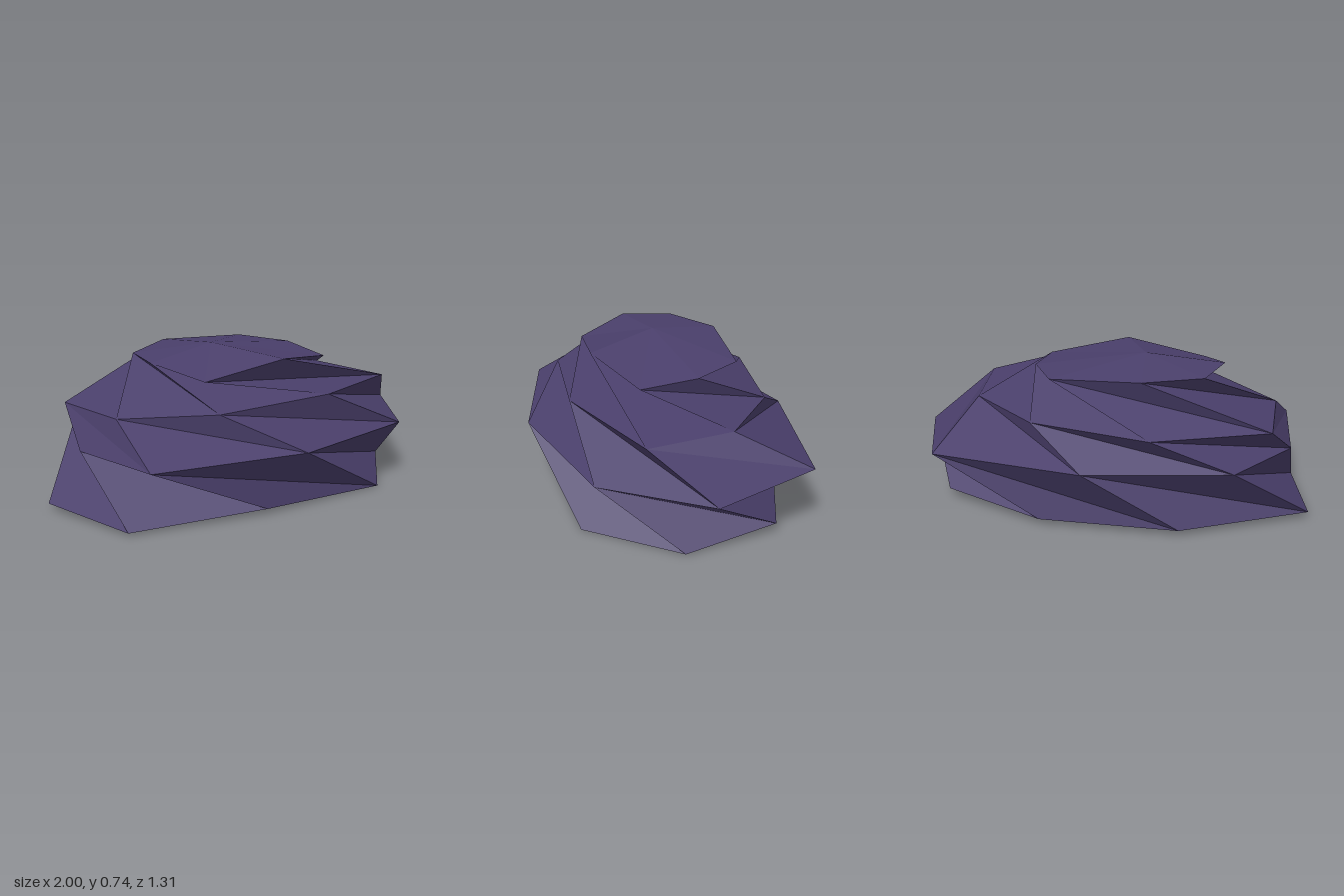
import * as THREE from 'three';

// Cross-sections from the ground up. Each is [x, y, z] around the rock, and
// each one is turned against the one below, which gives the twisted facets.
const base = [
  [0.87, 0.005, 0.12], [0.5, 0, 0.52], [-0.2, 0.03, 0.5], [-0.87, 0.015, 0.33],
  [-1, 0.035, -0.18], [-0.42, 0.03, -0.52], [0.26, 0.03, -0.55], [0.79, 0.05, -0.35],
];
const belly = [
  [0.67, 0.3, 0.49], [-0.08, 0.325, 0.65], [-0.82, 0.32, 0.45], [-0.89, 0.31, -0.05],
  [-0.67, 0.33, -0.49], [0.02, 0.33, -0.66], [0.8, 0.31, -0.53], [1, 0.285, 0.01],
];
const shoulder = [
  [0.18, 0.53, 0.49], [-0.42, 0.515, 0.42], [-0.79, 0.49, 0.12], [-0.82, 0.48, -0.31],
  [-0.28, 0.48, -0.55], [0.32, 0.49, -0.46], [0.68, 0.495, -0.17], [0.75, 0.495, 0.27],
];
const crown = [
  [-0.41, 0.64, 0.29], [-0.54, 0.7, 0.03], [-0.48, 0.695, -0.22], [-0.2, 0.7, -0.37],
  [0.26, 0.67, -0.33], [0.4, 0.66, -0.09], [0.4, 0.635, 0.2], [0.02, 0.7, 0.345],
];

function facets(triangles) {
  const geometry = new THREE.BufferGeometry();
  geometry.setAttribute('position', new THREE.Float32BufferAttribute(triangles.flat(2), 3));
  geometry.computeVertexNormals();
  return geometry;
}

// Band of facets between two cross-sections
function band(low, high) {
  const triangles = [];
  low.forEach((a, i) => {
    const j = (i + 1) % low.length;
    triangles.push([a, high[i], high[j]], [a, high[j], low[j]]);
  });
  return facets(triangles);
}

// Fan that closes a cross-section
function cap(ring, centre, up) {
  return facets(ring.map((a, i) => {
    const b = ring[(i + 1) % ring.length];
    return up ? [centre, b, a] : [centre, a, b];
  }));
}

export function createModel() {
  const group = new THREE.Group();
  group.name = 'rock';
  const stone = new THREE.MeshStandardMaterial({ color: 0x4a3f6b, flatShading: true });
  stone.name = 'purple stone';

  const add = (name, geometry) => {
    const mesh = new THREE.Mesh(geometry, stone);
    mesh.name = name;
    group.add(mesh);
  };
  add('underside', cap(base, [0, 0.02, 0], false));
  add('lowerFacets', band(base, belly));
  add('middleFacets', band(belly, shoulder));
  add('upperFacets', band(shoulder, crown));
  add('top', cap(crown, [-0.15, 0.74, -0.02], true));
  return group;
}
